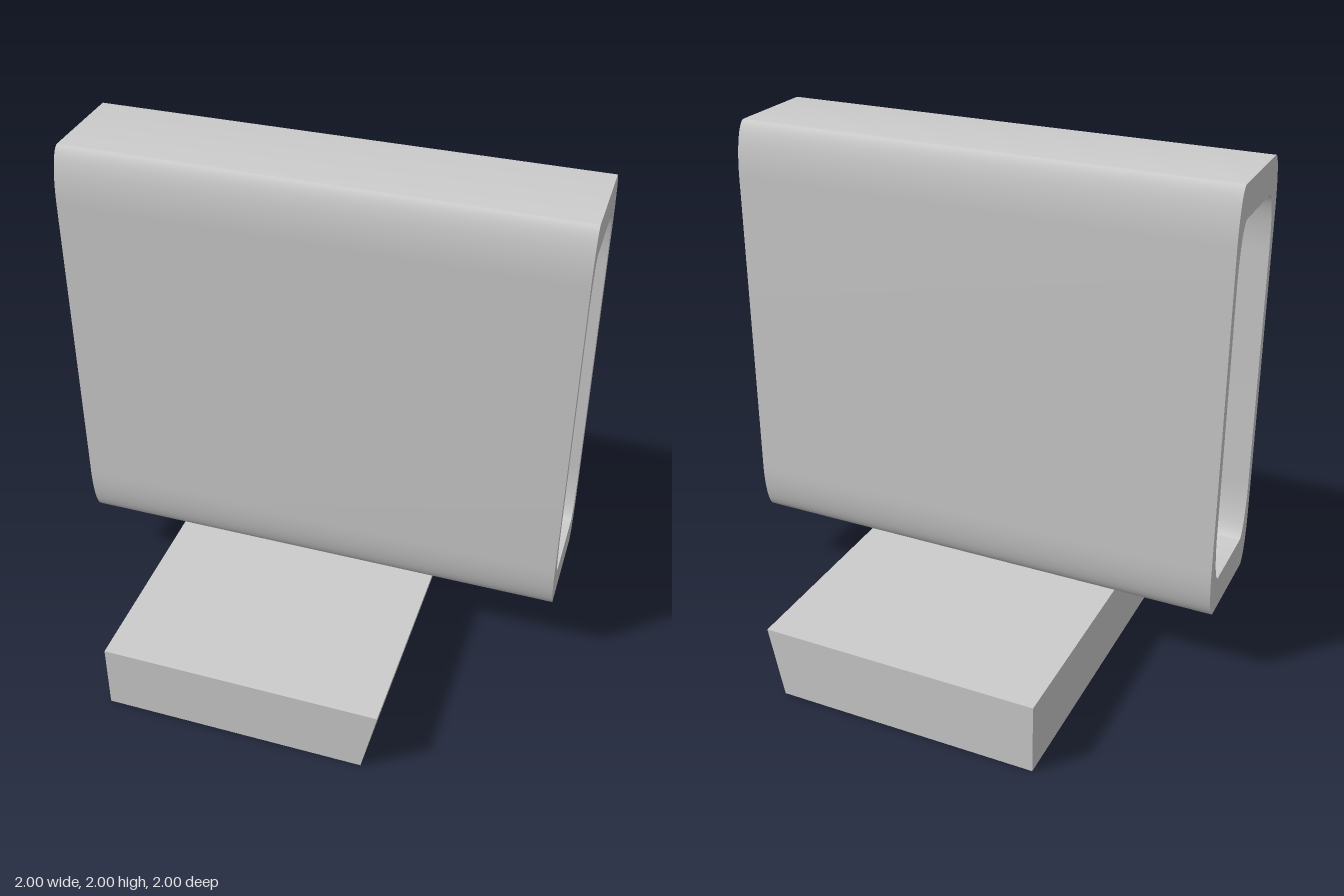
import * as THREE from 'three';
import { toCreasedNormals } from 'three/addons/utils/BufferGeometryUtils.js';

// Rectangle with elliptical corners: half width w, from y0 to y1, corner radii rx and ry
function softRect(path, w, y0, y1, rx, ry) {
  const corners = [
    [w - rx, y0 + ry, -Math.PI / 2],
    [w - rx, y1 - ry, 0],
    [-w + rx, y1 - ry, Math.PI / 2],
    [-w + rx, y0 + ry, Math.PI],
  ];
  path.moveTo(w - rx, y0);
  for (const [x, y, a] of corners) path.absellipse(x, y, rx, ry, a, a + Math.PI / 2, false, 0);
  path.closePath();
  return path;
}

// Extrudes a shape, centred on its depth
function extrude(shape, depth) {
  const geometry = new THREE.ExtrudeGeometry(shape, { depth, bevelEnabled: false, curveSegments: 10 });
  geometry.translate(0, 0, -depth / 2);
  return toCreasedNormals(geometry, 0.7);
}

export function createModel() {
  const group = new THREE.Group();
  const grey = new THREE.MeshStandardMaterial({ color: 0xcccccc });
  grey.name = 'light grey';

  // Upright hollow sleeve, open at both x ends
  const profile = softRect(new THREE.Shape(), 0.25, 0.28, 2, 0.06, 0.22);
  profile.holes.push(softRect(new THREE.Path(), 0.213, 0.42, 1.865, 0.065, 0.24));
  const sleeve = new THREE.Mesh(extrude(profile, 2), grey);
  sleeve.name = 'sleeve';
  sleeve.rotation.y = Math.PI / 2;
  group.add(sleeve);

  // Crosswise foot with one slanted side
  const section = new THREE.Shape([
    new THREE.Vector2(-0.6, 0),
    new THREE.Vector2(0.44, 0),
    new THREE.Vector2(0.5, 0.28),
    new THREE.Vector2(-0.6, 0.28),
  ]);
  const foot = new THREE.Mesh(extrude(section, 2), grey);
  foot.name = 'foot';
  group.add(foot);

  return group;
}
